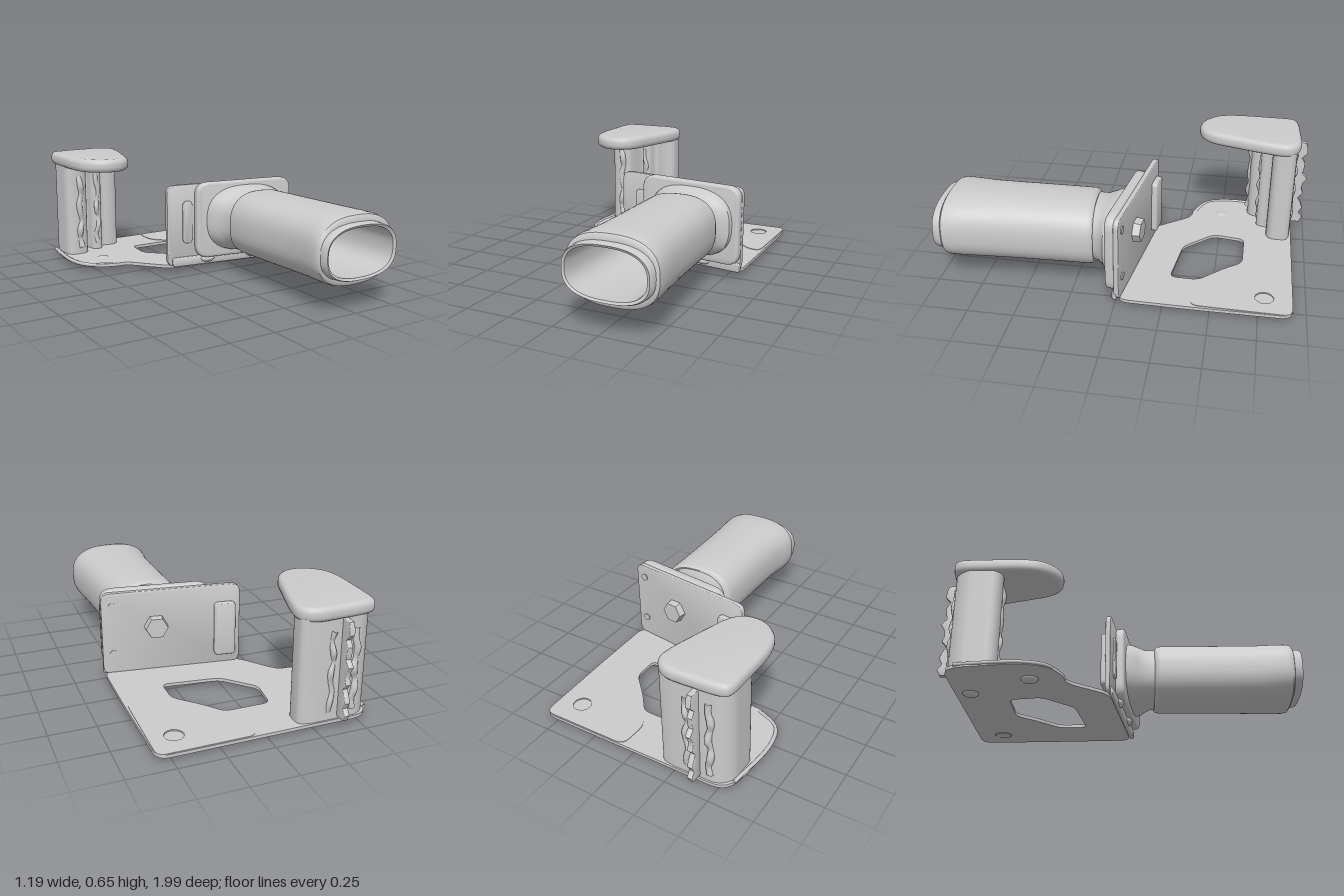
import * as THREE from 'three';
import { toCreasedNormals } from 'three/addons/utils/BufferGeometryUtils.js';

const material = new THREE.MeshStandardMaterial({ color: 0xcccccc, side: THREE.DoubleSide });

function add(parent, name, geometry, x = 0, y = 0, z = 0) {
  const mesh = new THREE.Mesh(geometry, material);
  mesh.name = name;
  mesh.position.set(x, y, z);
  parent.add(mesh);
  return mesh;
}

// Closed polygon with every corner rounded by up to r
function rounded(points, r, Type = THREE.Shape) {
  const path = new Type();
  const v = points.map(p => new THREE.Vector2(...p));
  v.forEach((p, i) => {
    const toward = q => {
      const d = q.clone().sub(p);
      return p.clone().addScaledVector(d, Math.min(r / d.length(), 0.48));
    };
    const a = toward(v.at(i - 1)), b = toward(v[(i + 1) % v.length]);
    if (i) path.lineTo(a.x, a.y); else path.moveTo(a.x, a.y);
    path.quadraticCurveTo(p.x, p.y, b.x, b.y);
  });
  path.closePath();
  return path;
}

const rect = (x0, y0, x1, y1) => [[x0, y0], [x1, y0], [x1, y1], [x0, y1]];
const plan = points => points.map(([x, z]) => [x, -z]);

// Extrusion of total thickness `depth`, the bevel staying inside the outline
function slab(shape, depth, bevel = 0) {
  const g = new THREE.ExtrudeGeometry(shape, {
    depth: depth - 2 * bevel, bevelEnabled: bevel > 0, bevelSize: bevel,
    bevelThickness: bevel, bevelOffset: -bevel, bevelSegments: 4, curveSegments: 8,
  });
  g.translate(0, 0, bevel);
  return toCreasedNormals(g, 0.6);
}
const flat = (shape, depth, bevel) => slab(shape, depth, bevel).rotateX(-Math.PI / 2);

// Skin over rounded-oval rings: [z, centre x, half width, half height, slant]
function loft(rings, cy, n = 56) {
  const pos = [], index = [];
  rings.forEach(([z, cx, rx, ry, slant = 0]) => {
    for (let i = 0; i < n; i++) {
      const a = i / n * Math.PI * 2, c = Math.cos(a), s = Math.sin(a);
      const dx = rx * Math.sign(c) * Math.abs(c) ** 0.78;
      pos.push(cx + dx, cy + ry * Math.sign(s) * Math.abs(s) ** 0.78, z + slant * dx);
    }
  });
  for (let j = 0; j < rings.length - 1; j++) {
    for (let i = 0; i < n; i++) {
      const a = j * n + i, b = j * n + (i + 1) % n;
      index.push(a, b, b + n, a, b + n, a + n);
    }
  }
  const g = new THREE.BufferGeometry();
  g.setAttribute('position', new THREE.Float32BufferAttribute(pos, 3));
  g.setIndex(index);
  return toCreasedNormals(g, 0.7);
}

function makeBase() {
  const base = new THREE.Group();
  base.name = 'base';
  const outline = rounded(plan([[0.585, -0.01], [0.585, -0.4], [0.575, -0.93], [-0.52, -0.92],
    [-0.575, -0.85], [-0.6, -0.52], [-0.55, -0.38], [-0.42, -0.32], [-0.34, -0.32], [-0.17, -0.1]]), 0.07);
  outline.holes.push(rounded(plan([[-0.13, -0.65], [0.12, -0.65], [0.2, -0.55], [0.33, -0.42],
    [0.33, -0.265], [0.01, -0.305], [-0.15, -0.47]]), 0.04, THREE.Path));
  outline.holes.push(new THREE.Path().absarc(0.44, 0.78, 0.05, 0, Math.PI * 2, true));
  const plate = add(base, 'basePlate', flat(outline, 0.018), 0, 0.03, 0);
  plate.rotation.x = -0.012;
  // Thin raised patch over the rear corner
  const patch = rounded(plan([[0.57, -0.4], [0.572, -0.925], [0.06, -0.92], [0.05, -0.75],
    [0.16, -0.62], [0.24, -0.6], [0.4, -0.5], [0.5, -0.4]]), 0.05);
  patch.holes.push(new THREE.Path().absarc(0.44, 0.78, 0.05, 0, Math.PI * 2, true));
  add(base, 'cornerPatch', flat(patch, 0.003), 0, 0.048, 0).rotation.x = -0.012;
  // Sunken rivet and rounded feet
  add(base, 'rivet', new THREE.CylinderGeometry(0.052, 0.045, 0.018, 32), 0.44, 0.026, -0.78);
  for (const [x, z] of [[-0.41, -0.5], [-0.23, -0.84]]) {
    add(base, 'foot', new THREE.SphereGeometry(0.046, 24, 12).scale(1, 0.55, 1), x, 0.026, z);
  }
  // Curled lip at the side of the plate
  const lip = new THREE.CatmullRomCurve3([[-0.565, -0.86], [-0.59, -0.53], [-0.545, -0.4], [-0.42, -0.34]]
    .map(([x, z]) => new THREE.Vector3(x, 0.038, z)));
  add(base, 'sideLip', new THREE.TubeGeometry(lip, 30, 0.011, 8));
  return base;
}

function makeFlange() {
  const flange = new THREE.Group();
  flange.name = 'flange';
  flange.position.set(0.2, 0, -0.05);
  flange.rotation.y = -0.131;
  add(flange, 'uprightPlate', slab(rounded(rect(-0.39, 0.04, 0.39, 0.515), 0.05), 0.028, 0.004), 0, 0, -0.028);
  add(flange, 'bendStrip', slab(rounded(rect(-0.36, 0.036, 0.39, 0.09), 0.02), 0.024, 0.008), 0, 0, -0.012);
  add(flange, 'collarPlate', slab(rounded(rect(-0.222, 0.082, 0.392, 0.525), 0.075), 0.055, 0.016), 0, 0, -0.006);
  // Hook tab, standing proud on both faces
  add(flange, 'hookTab', slab(rounded(rect(-0.295, 0.17, -0.235, 0.42), 0.03), 0.024, 0.005), 0, 0, -0.014);
  add(flange, 'rearTab', slab(rounded(rect(-0.36, 0.1, -0.24, 0.415), 0.025), 0.038, 0.01), 0, 0, -0.06);
  // Bolt head and rivets on the rear face
  add(flange, 'boltHead', toCreasedNormals(
    new THREE.CylinderGeometry(0.068, 0.062, 0.05, 6).rotateX(Math.PI / 2).rotateZ(Math.PI / 6), 0.5), 0.09, 0.305, -0.045);
  for (const y of [0.16, 0.44]) {
    add(flange, 'rearRivet', new THREE.CylinderGeometry(0.02, 0.022, 0.012, 20).rotateX(Math.PI / 2), 0.33, y, -0.029);
  }
  // Small gussets below the collar
  for (const x of [-0.14, 0.16]) {
    add(flange, 'gusset', new THREE.SphereGeometry(0.045, 16, 10).scale(1, 0.5, 0.7), x, 0.07, 0.005);
  }
  return flange;
}

function makeHandle() {
  const handle = new THREE.Group();
  handle.name = 'handle';
  add(handle, 'grip', loft([
    // neck
    [0.0, 0.29, 0.26, 0.195, 0.13], [0.035, 0.29, 0.25, 0.19, 0.13], [0.065, 0.285, 0.22, 0.178, 0.1],
    [0.1, 0.285, 0.195, 0.165, 0.06], [0.14, 0.28, 0.19, 0.165, -0.03],
    // sleeve
    [0.14, 0.28, 0.2, 0.172, -0.05], [0.15, 0.28, 0.212, 0.182, -0.05], [0.17, 0.281, 0.216, 0.185, -0.04],
    [0.35, 0.284, 0.217, 0.186], [0.6, 0.29, 0.222, 0.186], [0.75, 0.294, 0.229, 0.186],
    [0.85, 0.293, 0.242, 0.186], [0.91, 0.291, 0.247, 0.184], [0.94, 0.291, 0.245, 0.178],
    [0.95, 0.29, 0.235, 0.165],
    // end ring
    [0.951, 0.287, 0.235, 0.145], [0.985, 0.287, 0.233, 0.143], [0.997, 0.285, 0.227, 0.138],
    // bore and floor
    [0.99, 0.283, 0.213, 0.126], [0.9, 0.283, 0.21, 0.128], [0.2, 0.283, 0.195, 0.135],
    [0.1, 0.285, 0.17, 0.12], [0.1, 0.285, 0.001, 0.001],
  ], 0.305));
  add(handle, 'innerNut', toCreasedNormals(
    new THREE.CylinderGeometry(0.07, 0.073, 0.03, 6).rotateX(Math.PI / 2).rotateZ(Math.PI / 6), 0.5), 0.29, 0.3, 0.11);
  return handle;
}

function makePost() {
  const post = new THREE.Group();
  post.name = 'post';
  // Folded upright with grooves on its front
  add(post, 'upright', flat(rounded(plan([[-0.165, -0.79], [-0.165, -0.9], [-0.24, -0.915], [-0.5, -0.91],
    [-0.56, -0.85], [-0.56, -0.68], [-0.52, -0.65], [-0.43, -0.66], [-0.4, -0.8], [-0.375, -0.8],
    [-0.37, -0.72], [-0.31, -0.71], [-0.295, -0.79], [-0.23, -0.77]]), 0.04), 0.56), 0, 0.035, 0);
  // Ragged rear fin
  const fin = new THREE.Shape();
  fin.moveTo(0.9, 0.05);
  for (let i = 0; i <= 16; i++) {
    fin.lineTo(0.97 + 0.014 * Math.sin(i * 2.3) + 0.008 * Math.sin(i * 0.9), 0.05 + i * 0.033);
  }
  fin.lineTo(0.9, 0.58);
  add(post, 'rearFin', slab(fin, 0.03, 0.004).rotateY(Math.PI / 2), -0.405, 0, 0);
  // Uneven ridges along the rear and front faces
  const ridges = [[-0.46, -0.905, 0.02], [-0.33, -0.908, 0.016], [-0.48, -0.662, 0.02], [-0.34, -0.72, 0.014]];
  ridges.forEach(([x, z, r], k) => {
    const points = Array.from({ length: 9 }, (_, i) => new THREE.Vector3(
      x + 0.008 * Math.sin(i * 1.9 + k), 0.08 + i * 0.055, z + 0.008 * Math.sin(i * 2.7 + k)));
    add(post, 'ridge', new THREE.TubeGeometry(new THREE.CatmullRomCurve3(points), 32, r, 8));
  });
  // Cap
  add(post, 'cap', flat(rounded(plan([[-0.57, -0.9], [-0.5, -0.922], [-0.22, -0.935], [-0.145, -0.87],
    [-0.165, -0.75], [-0.265, -0.41], [-0.34, -0.345], [-0.45, -0.345], [-0.55, -0.43], [-0.575, -0.55]]), 0.07),
  0.075, 0.028), 0, 0.577, 0);
  return post;
}

export function createModel() {
  const model = new THREE.Group();
  model.name = 'handledDispenser';
  model.add(makeBase(), makeFlange(), makeHandle(), makePost());
  return model;
}
